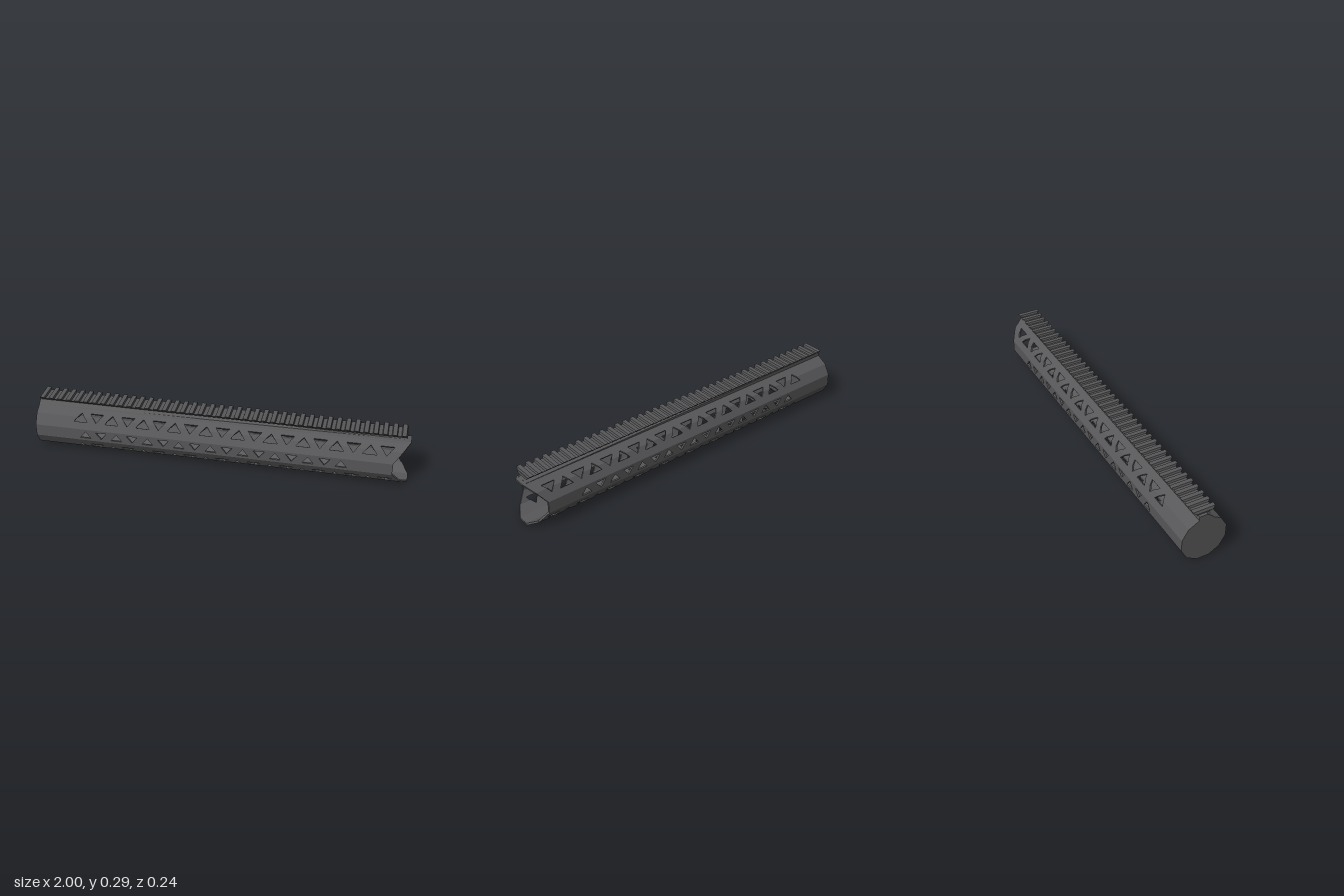
import * as THREE from 'three';

const APOTHEM = 0.122, CENTRE_Y = 0.122, WALL = 0.01;
const HALF = APOTHEM * Math.tan(Math.PI / 12); // half width of one of the 12 facets
const PITCH = 0.086, START = -0.75, COUNT = 20;
const CUT_W = 0.037, CUT_H = 0.026;

// Where the forked front end stops, for a given angle round the tube
function endX(deg) {
  const s = Math.abs(Math.sin(deg * Math.PI / 180));
  return s < 0.5 ? 0.92 : s < 0.8 ? 0.965 : 1;
}

// Notches along a facet edge: each is one half of a triangle folded over the ridge.
// inward is the v direction into the facet, tip the v direction the first triangle points.
function notches(edge, inward, tip) {
  const list = [];
  for (let i = 0; i < COUNT; i++) {
    const x = START + i * PITCH;
    const points = i % 2 ? -tip : tip;
    const v = edge + inward * CUT_H, m = CUT_W / 2;
    list.push([x - m, edge]);
    if (points === inward) list.push([x, v]);
    else list.push([x - CUT_W, v], [x + CUT_W, v]);
    list.push([x + m, edge]);
  }
  return list;
}

// One long flat facet of the tube
function facetGeometry(k) {
  const deg = k * 30;
  const tip = Math.cos(deg * Math.PI / 180) > 0 ? 1 : -1;
  const pts = [[-1, -HALF]];
  if (k % 3 === 2) pts.push(...notches(-HALF, 1, tip));
  pts.push([endX(deg - 15), -HALF], [endX(deg + 15), HALF]);
  if (k % 3 === 1) pts.push(...notches(HALF, -1, tip).reverse());
  pts.push([-1, HALF]);
  const shape = new THREE.Shape(pts.map(p => new THREE.Vector2(...p)));

  // smaller whole triangles on the side and bottom facets
  if (k % 3 === 0 && k !== 3) {
    for (let i = 0; i < 17; i++) {
      const x = -0.72 + (i + (k === 6 ? 0.5 : 0)) * PITCH;
      const s = (i % 2 ? -1 : 1) * tip * 0.019;
      shape.holes.push(new THREE.Path([
        new THREE.Vector2(x - 0.03, -s), new THREE.Vector2(x, s), new THREE.Vector2(x + 0.03, -s),
      ]));
    }
  }
  const geo = new THREE.ExtrudeGeometry(shape, { depth: WALL, bevelEnabled: false });
  geo.translate(0, 0, APOTHEM - WALL);
  geo.rotateX(-deg * Math.PI / 180);
  return geo;
}

// Prism running along x, from a section given as [z, y] points
function prism(section, x0, length) {
  const shape = new THREE.Shape(section.map(([z, y]) => new THREE.Vector2(-z, y)));
  const geo = new THREE.ExtrudeGeometry(shape, { depth: length, bevelEnabled: false });
  geo.rotateY(Math.PI / 2);
  geo.translate(x0, 0, 0);
  return geo;
}

export function createModel() {
  const metal = new THREE.MeshStandardMaterial({ color: 0x58585a, flatShading: true, side: THREE.DoubleSide });
  metal.name = 'darkGreyMetal';
  const model = new THREE.Group();
  model.name = 'slottedTube';
  const add = (parent, name, geo) => {
    const mesh = new THREE.Mesh(geo, metal);
    mesh.name = name;
    parent.add(mesh);
    return mesh;
  };

  // Twelve-sided tube with triangular cut-outs and a closed rear end
  const tube = new THREE.Group();
  tube.name = 'tube';
  tube.position.y = CENTRE_Y;
  model.add(tube);
  for (let k = 0; k < 12; k++) add(tube, 'tubeFacet', facetGeometry(k));
  const r = APOTHEM / Math.cos(Math.PI / 12) - 0.0005;
  const cap = new THREE.CylinderGeometry(r, r, 0.008, 12, 1, false, Math.PI / 12);
  cap.rotateZ(Math.PI / 2);
  cap.translate(-0.996, 0, 0);
  add(tube, 'rearCap', cap);

  // Neck under the rail, sinking towards the front so a thin gap opens up
  const neck = prism([[0.045, 0.24], [-0.033, 0.24], [-0.033, 0.267], [0.012, 0.267]], -1, 1.98);
  const pos = neck.attributes.position;
  for (let i = 0; i < pos.count; i++) {
    if (pos.getX(i) > 0 && pos.getY(i) > 0.25) pos.setY(i, 0.245);
  }
  add(model, 'railNeck', neck);

  // Flared rail with cross ridges
  const rail = new THREE.Group();
  rail.name = 'rail';
  model.add(rail);
  add(rail, 'railCore', prism([[0.034, 0.266], [-0.034, 0.266], [-0.05, 0.281], [0.05, 0.281]], -0.985, 1.965));
  const teeth = 41, step = 0.0484;
  for (let i = 0; i < teeth; i++) {
    const x = -0.99 + i * step;
    const tooth = prism([[0.046, 0.277], [-0.046, 0.277], [-0.061, 0.292], [0.061, 0.292]], x, 0.032);
    // ridge narrows towards its crest
    const p = tooth.attributes.position;
    for (let j = 0; j < p.count; j++) {
      if (p.getY(j) > 0.285) p.setX(j, x + 0.016 + (p.getX(j) - x - 0.016) * 0.7);
    }
    add(rail, 'railTooth', tooth);
  }
  return model;
}
